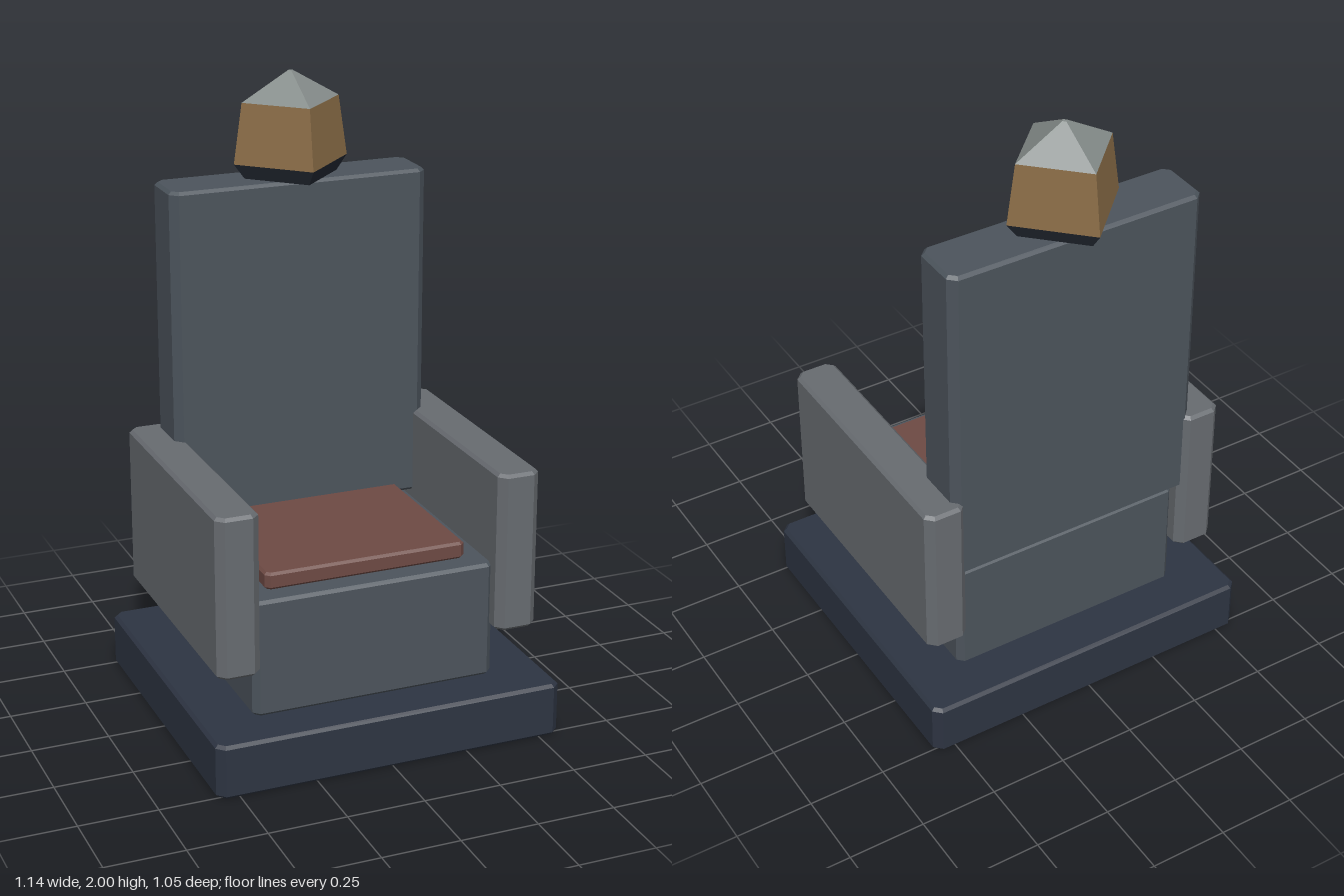
import * as THREE from 'three';

const mat = (color) => new THREE.MeshStandardMaterial({ color, flatShading: true });
const navy = mat(0x2d3442);
const slate = mat(0x4c545c);
const grey = mat(0x676b70);
const red = mat(0x6e4a44);
const bronze = mat(0x8b6d47);
const stone = mat(0x858c8a);
const dark = mat(0x252b35);

// Box with cut vertical corners (c) and a narrow bevel (b) round top and bottom
function chamferBox([x0, x1], [y0, y1], [z0, z1], c = 0.025, b = 0.01) {
  const w = (x1 - x0) / 2, d = (z1 - z0) / 2;
  const shape = new THREE.Shape([
    [w - c, -d], [w, -d + c], [w, d - c], [w - c, d],
    [-w + c, d], [-w, d - c], [-w, -d + c], [-w + c, -d],
  ].map(([x, y]) => new THREE.Vector2(x, y)));
  const geo = new THREE.ExtrudeGeometry(shape, {
    depth: y1 - y0 - 2 * b, bevelEnabled: true, bevelSegments: 1,
    bevelSize: b, bevelOffset: -b, bevelThickness: b,
  });
  geo.translate(0, 0, b).rotateX(-Math.PI / 2);
  return geo.translate((x0 + x1) / 2, y0, (z0 + z1) / 2);
}

export function createModel() {
  const model = new THREE.Group();
  model.name = 'throne';
  const add = (name, geometry, material, parent = model) => {
    const mesh = new THREE.Mesh(geometry, material);
    mesh.name = name;
    parent.add(mesh);
    return mesh;
  };

  // Plinth, seat block and cushion
  add('plinth', chamferBox([-0.57, 0.57], [0, 0.175], [-0.523, 0.523]), navy);
  add('seatBlock', chamferBox([-0.4, 0.4], [0.175, 0.555], [-0.378, 0.378], 0.02), slate);
  add('cushion', chamferBox([-0.332, 0.332], [0.555, 0.61], [-0.308, 0.308], 0.015, 0.008), red);

  // Armrests
  for (const [side, s] of [['left', 1], ['right', -1]]) {
    const xs = [s * 0.39, s * 0.528].sort((a, b) => a - b);
    add(side + 'Armrest', chamferBox(xs, [0.34, 0.86], [-0.427, 0.427]), grey);
  }

  // Backrest
  add('backrest', chamferBox([-0.428, 0.428], [0.58, 1.67], [-0.41, -0.223]), slate);

  // Four-sided finial, turned with its edges to the front and sides
  const finial = new THREE.Group();
  finial.name = 'finial';
  finial.position.z = -0.316;
  model.add(finial);
  const tiers = [
    ['finialCollar', 1.67, 0.155, 1.718, 0.19, dark],
    ['finialBody', 1.718, 0.19, 1.91, 0.162, bronze],
    ['finialCap', 1.91, 0.162, 2, 0.008, stone],
  ];
  for (const [name, y0, r0, y1, r1, material] of tiers) {
    const geo = new THREE.CylinderGeometry(r1, r0, y1 - y0, 4);
    add(name, geo.translate(0, (y0 + y1) / 2, 0), material, finial);
  }

  return model;
}
